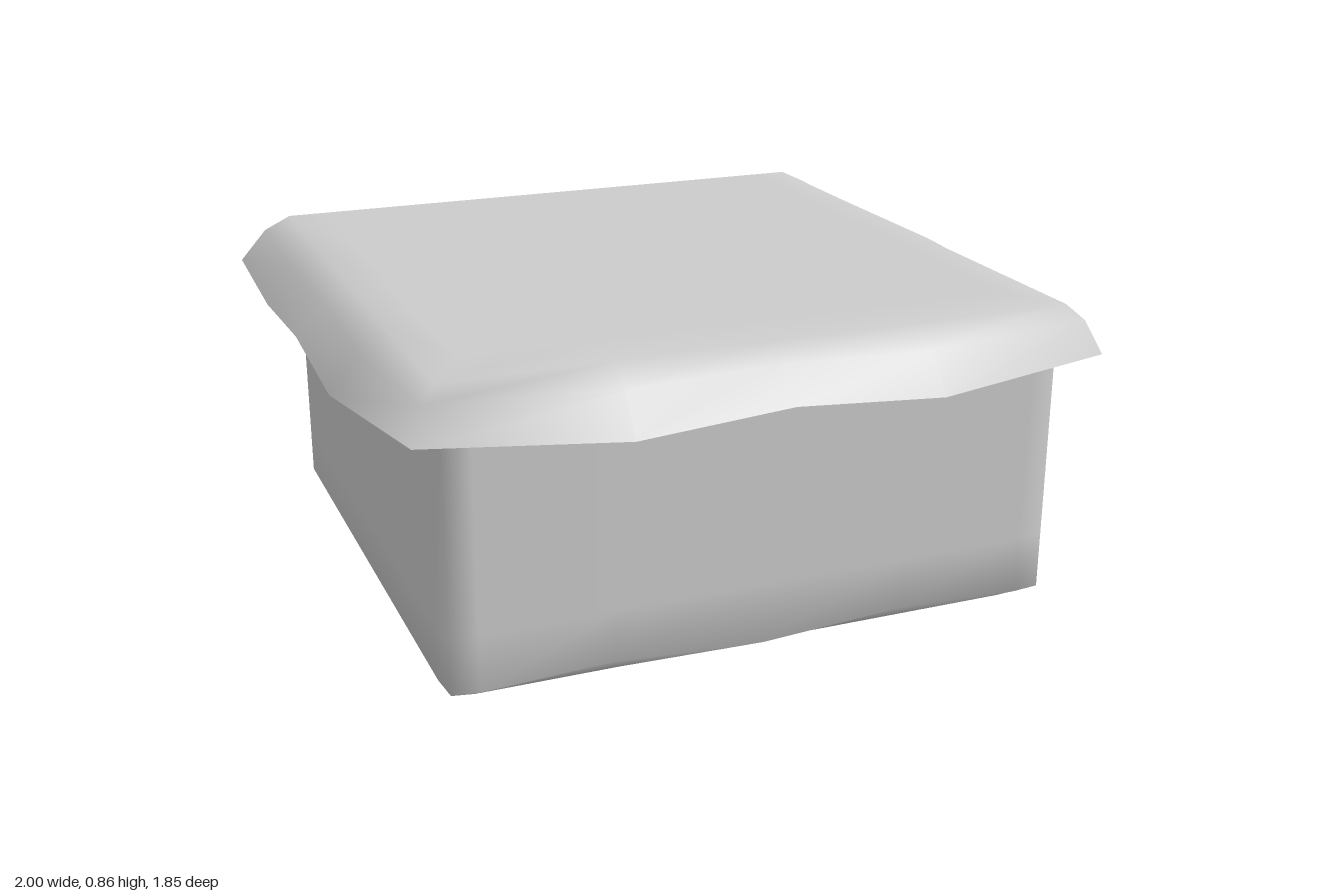
import * as THREE from 'three';

const material = new THREE.MeshStandardMaterial({ color: 0xcccccc, side: THREE.DoubleSide });

// Completes half a U-shaped ring (back of +x side to front centre) by mirroring
const mirror = half => [...half, ...half.slice(0, -1).reverse().map(([x, y, z]) => [-x, y, z])];

// Smooth sheet through U-shaped rings, open at the back
function sheet(name, halves) {
  const rings = halves.map(mirror);
  const n = rings[0].length;
  const index = [];
  for (let r = 0; r < rings.length - 1; r++) {
    for (let i = 0; i < n - 1; i++) {
      const a = r * n + i, b = a + n;
      index.push(a, b, a + 1, a + 1, b, b + 1);
    }
  }
  const geometry = new THREE.BufferGeometry();
  geometry.setAttribute('position', new THREE.Float32BufferAttribute(rings.flat(2), 3));
  geometry.setIndex(index);
  geometry.computeVertexNormals();
  const mesh = new THREE.Mesh(geometry, material);
  mesh.name = name;
  return mesh;
}

// Box with bevelled lower edges and a gently rippled front hem
function createBody() {
  const outline = [[0.84, -0.835], [0.84, 0], [0.84, 0.67], [0.832, 0.757], [0.76, 0.765], [0.41, 0.765], [0, 0.765]];
  const hem = [0.045, 0.045, 0.045, 0.045, 0.045, 0.06, 0.035];
  const at = y => outline.map(([x, z]) => [x, y, z]);
  const inset = (sx, front) => outline.map(([x, z]) => [x * sx, 0, z > 0.7 ? front : Math.min(z, front - 0.02)]);
  return sheet('body', [
    inset(0, 0.55),
    inset(0.8, 0.6),
    inset(0.905, 0.69),
    outline.map(([x, z], i) => [x, hem[i], z]),
    at(0.2),
    at(0.73),
    at(0.85),
  ]);
}

// Cover with a flat top and a flared, wavy skirt on three sides
function createCover() {
  const low = [
    [1, 0.73, -0.925], [1, 0.705, -0.5], [1, 0.735, -0.07], [1, 0.705, 0.34],
    [0.92, 0.73, 0.84],
    [0.41, 0.705, 0.92], [0, 0.735, 0.92],
  ];
  const corner = 4;
  const flat = (hx, front) => low.map(([x, , z], i) => [
    i <= corner ? hx : Math.min(x, hx),
    0.855,
    i >= corner ? front : Math.min(z, front),
  ]);
  const top = flat(0.845, 0.77);
  const middle = low.map((p, i) => p.map((v, k) => (v + top[i][k]) / 2 + (k === 1 ? 0.025 : 0)));
  return sheet('cover', [low, middle, top, flat(0.74, 0.6), flat(0, 0.5)]);
}

export function createModel() {
  const group = new THREE.Group();
  group.name = 'coveredBox';
  group.add(createBody(), createCover());
  return group;
}
